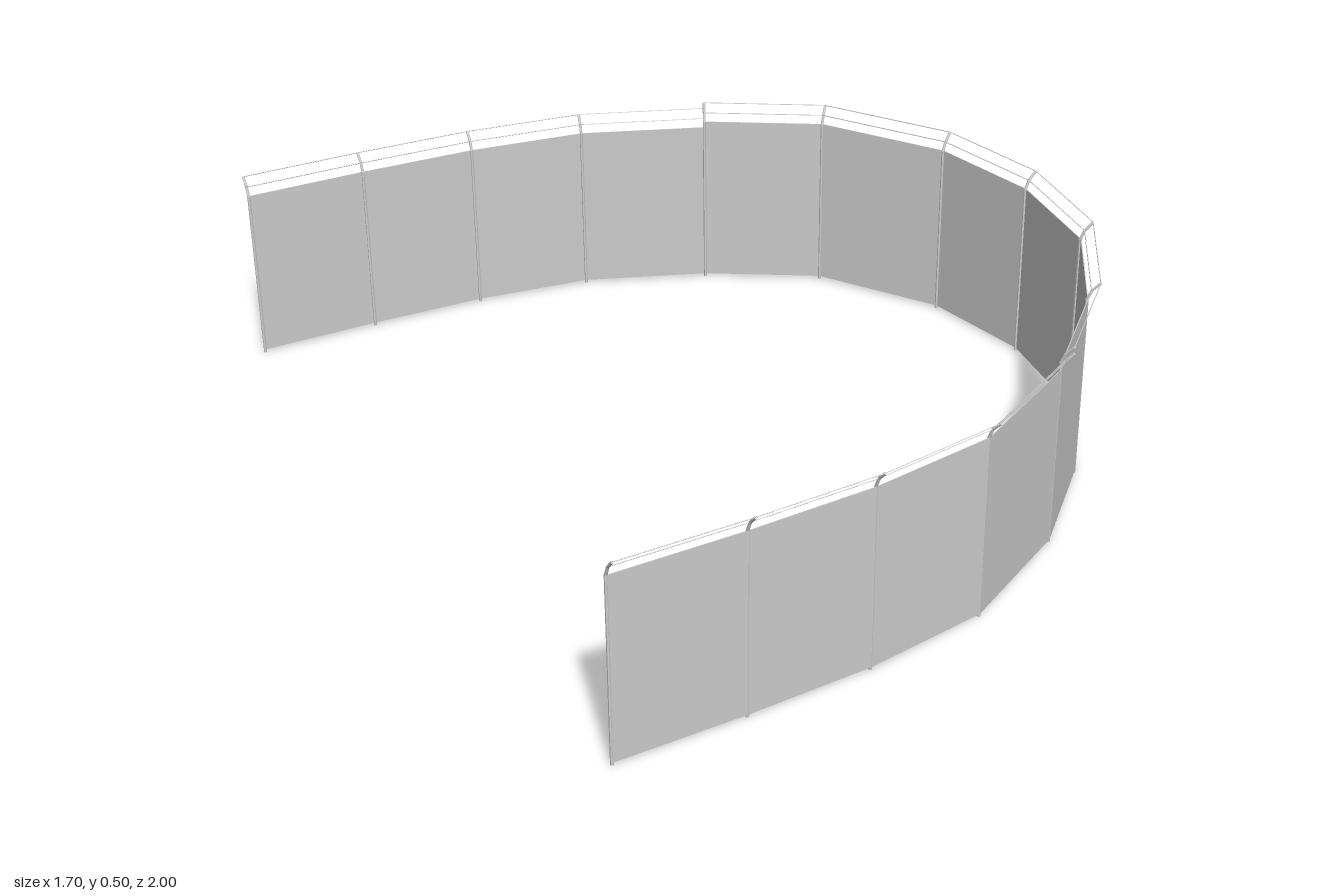
import * as THREE from 'three';

const material = new THREE.MeshStandardMaterial({ color: 0xcccccc, flatShading: true });

// Post positions (x, z) around the U-shaped fence, back end to front end
const POSTS = [
  [-0.85, -0.97], [-0.55, -0.97], [-0.255, -0.96], [0.04, -0.92], [0.34, -0.795],
  [0.6, -0.625], [0.775, -0.32], [0.815, -0.02], [0.755, 0.28], [0.575, 0.54],
  [0.345, 0.75], [0.045, 0.91], [-0.255, 0.955], [-0.55, 0.967], [-0.85, 0.968],
].map(([x, z]) => new THREE.Vector3(x, 0, z));

// Overhang arm profile: distance outward, height above the panel top
const ARM = [[0, 0], [0.009, 0.022], [0.028, 0.043]];

// Runs of panels; the middle run stands slightly taller
const RUNS = [
  { name: 'backRun', from: 0, to: 4, top: 0.434 },
  { name: 'bowRun', from: 4, to: 10, top: 0.45 },
  { name: 'frontRun', from: 10, to: 14, top: 0.434 },
];

// Horizontal outward direction at a post, averaged over its neighbours
function outward(i) {
  const a = POSTS[Math.max(i - 1, 0)];
  const b = POSTS[Math.min(i + 1, POSTS.length - 1)];
  const d = b.clone().sub(a).normalize();
  return new THREE.Vector3(d.z, 0, -d.x);
}

// Point on the overhang arm of post i
function armPoint(i, top, k) {
  const p = POSTS[i].clone().addScaledVector(outward(i), ARM[k][0]);
  p.y = top + ARM[k][1];
  return p;
}

// Straight rod between two points
function rod(name, a, b, radius, sides) {
  const d = b.clone().sub(a);
  const mesh = new THREE.Mesh(new THREE.CylinderGeometry(radius, radius, d.length(), sides), material);
  mesh.position.copy(a).add(b).multiplyScalar(0.5);
  mesh.quaternion.setFromUnitVectors(new THREE.Vector3(0, 1, 0), d.normalize());
  mesh.name = name;
  return mesh;
}

// Thin upright sheet spanning two posts
function panel(i, top) {
  const a = POSTS[i], b = POSTS[i + 1];
  const d = b.clone().sub(a);
  const mesh = new THREE.Mesh(new THREE.BoxGeometry(d.length(), top - 0.006, 0.002), material);
  mesh.position.copy(a).add(b).multiplyScalar(0.5);
  mesh.position.y = (top + 0.006) / 2;
  mesh.rotation.y = Math.atan2(-d.z, d.x);
  // Sheet sits on the outer side of the posts
  mesh.position.addScaledVector(new THREE.Vector3(d.z, 0, -d.x).normalize(), 0.002);
  mesh.name = 'panel';
  return mesh;
}

export function createModel() {
  const fence = new THREE.Group();
  fence.name = 'fence';

  for (const { name, from, to, top } of RUNS) {
    const run = new THREE.Group();
    run.name = name;
    for (let i = from; i <= to; i++) {
      // Posts shared between runs belong to the taller one
      const shared = name !== 'bowRun' && (i === 4 || i === 10);
      if (!shared) {
        run.add(rod('post', POSTS[i], armPoint(i, top, 0), 0.004, 6));
      }
      // Bent overhang arm
      for (let k = 0; k < 2; k++) {
        run.add(rod('overhangArm', armPoint(i, top, k), armPoint(i, top, k + 1), 0.0035, 6));
      }
      if (i === to) continue;
      run.add(panel(i, top));
      // Two wires strung along the arms
      for (const k of [1, 2]) {
        run.add(rod('wire', armPoint(i, top, k), armPoint(i + 1, top, k), 0.0012, 4));
      }
    }
    fence.add(run);
  }
  return fence;
}
